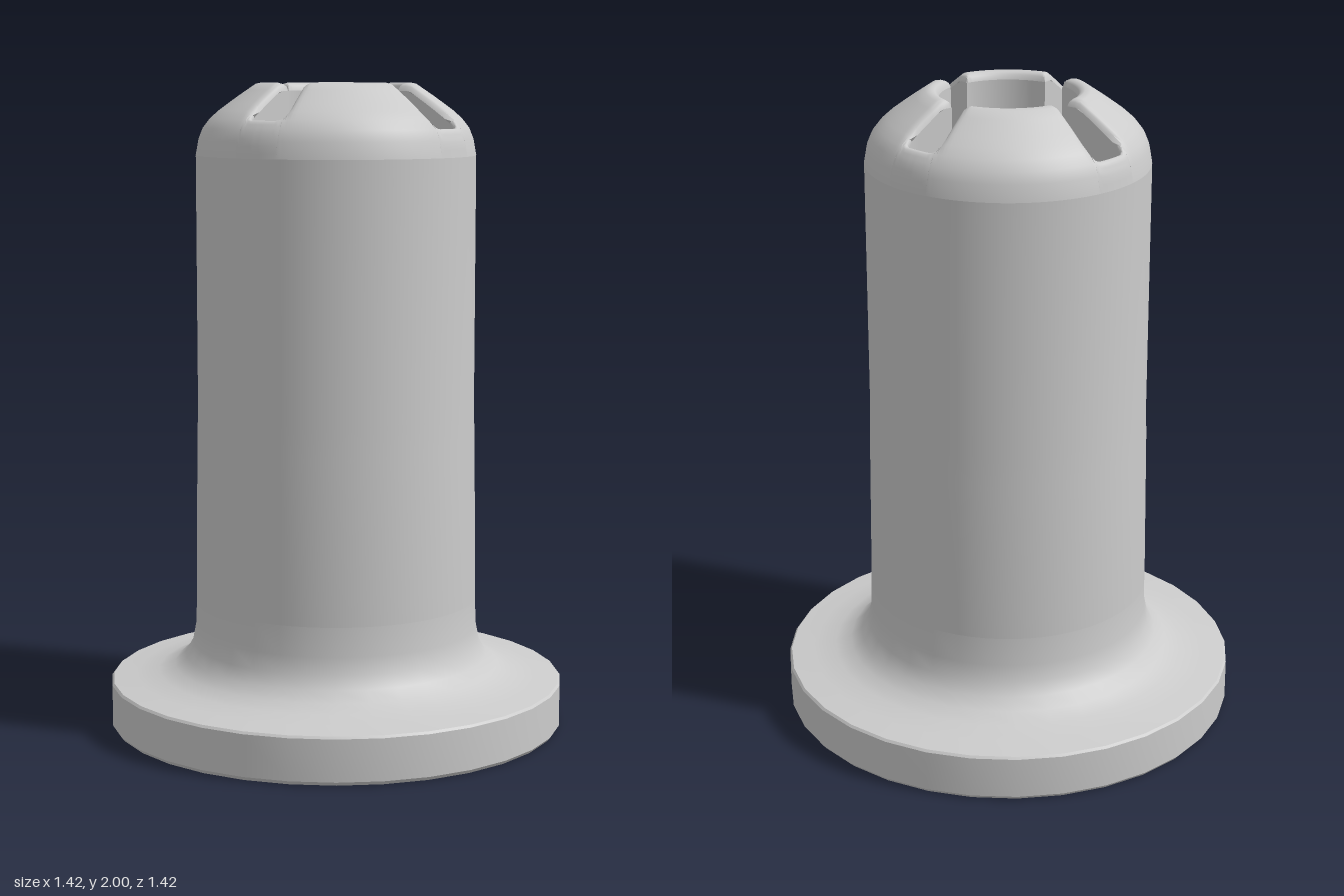
import * as THREE from 'three';
import { toCreasedNormals } from 'three/addons/utils/BufferGeometryUtils.js';

const V = (x, y) => new THREE.Vector2(x, y);
const material = new THREE.MeshStandardMaterial({ color: 0xcccccc, side: THREE.DoubleSide });

const HOLE = 0.205, BODY = 0.43, HALF = 0.172, FLOOR = 1.4, LIP = 0.025;
const SHOULDER = 1.78;

// Height of the domed top at a given radius
const crown = [[0, 2], [0.24, 2], [0.31, 1.952], [0.36, 1.915], [0.39, 1.888], [0.41, 1.86], [0.423, 1.825], [BODY, SHOULDER]];
function crownY(r) {
  for (let i = 1; i < crown.length; i++) {
    const [r0, y0] = crown[i - 1], [r1, y1] = crown[i];
    if (r <= r1) return y0 + (y1 - y0) * (r - r0) / (r1 - r0);
  }
  return SHOULDER;
}

// Outline of the socket: a round hole with four flared slots, as angle / radius pairs
function socketOutline() {
  const out = [];
  for (let q = 0; q < 4; q++) {
    const mid = q * Math.PI / 2;
    const end = q % 2 ? 0.372 : 0.395;
    const corner = 0.022;
    // out along one side, across the rounded end, back along the other side
    for (let i = 0; i <= 6; i++) out.push([mid - HALF, HOLE + (end - corner - HOLE) * i / 6]);
    for (let i = 1; i < 16; i++) {
      const a = -HALF + 2 * HALF * i / 16;
      const inset = Math.max(0, corner - (HALF - Math.abs(a)) * end);
      out.push([mid + a, end - corner + Math.sqrt(corner * corner - inset * inset)]);
    }
    for (let i = 6; i >= 0; i--) out.push([mid + HALF, HOLE + (end - corner - HOLE) * i / 6]);
    // arc of the round hole; closer columns beside the slots for the rounded lips
    const span = Math.PI / 2 - 2 * HALF;
    for (let i = 1; i < 24; i++) {
      const t = i / 24;
      out.push([mid + HALF + span * (t - Math.sin(2 * Math.PI * t) * 0.1), HOLE]);
    }
  }
  return out;
}

const polar = ([a, r]) => V(r * Math.cos(a), r * Math.sin(a));

// Shortest distance from a point to the closed outline
function edgeDistance(p, pts) {
  let best = Infinity;
  const d = V(0, 0), e = V(0, 0);
  pts.forEach((a, i) => {
    const b = pts[(i + 1) % pts.length];
    d.subVectors(b, a);
    e.subVectors(p, a);
    const t = THREE.MathUtils.clamp(e.dot(d) / (d.lengthSq() || 1), 0, 1);
    best = Math.min(best, e.addScaledVector(d, -t).length());
  });
  return best;
}

// Surface through columns of points around a closed loop
function loft(columns, skip = () => false) {
  const n = columns.length, m = columns[0].length, index = [];
  for (let i = 0; i < n; i++) {
    if (skip(i, (i + 1) % n)) continue;
    for (let j = 0; j < m - 1; j++) {
      const a = i * m + j, b = ((i + 1) % n) * m + j;
      index.push(a, b, a + 1, b, b + 1, a + 1);
    }
  }
  const g = new THREE.BufferGeometry();
  g.setAttribute('position', new THREE.Float32BufferAttribute(columns.flat(2), 3));
  g.setIndex(index);
  return g;
}

export function createModel() {
  const group = new THREE.Group();
  const add = (name, geometry) => {
    const mesh = new THREE.Mesh(toCreasedNormals(geometry, 0.65), material);
    mesh.name = name;
    group.add(mesh);
  };

  // Hollow underside, rim and flared flange
  add('flange', new THREE.LatheGeometry([
    V(0.41, 0.4), V(0.415, 0.32), V(0.43, 0.25), V(0.46, 0.19), V(0.52, 0.15), V(0.6, 0.135), V(0.69, 0.125),
    V(0.69, 0), V(0.7, 0), V(0.71, 0.012), V(0.71, 0.14), V(0.704, 0.147),
    V(0.63, 0.157), V(0.56, 0.168), V(0.51, 0.188), V(0.475, 0.218), V(0.452, 0.258), V(0.442, 0.31), V(0.439, 0.4),
  ], 32));

  // Barrel, drawn in slightly towards the top
  add('barrel', new THREE.LatheGeometry([V(0.439, 0.4), V(0.433, 0.9), V(BODY, 1), V(BODY, SHOULDER)], 64));

  // Inner bore, closed beneath the socket
  add('bore', new THREE.LatheGeometry([V(0, FLOOR - 0.03), V(0.41, FLOOR - 0.03), V(0.41, 0.4)], 64));

  // Domed crown with rounded lips around the socket
  const outline = socketOutline();
  const pts = outline.map(polar);
  const steps = [0, 0.02, 0.05, 0.1, 0.18, 0.3, 0.42, 0.55, 0.68, 0.8, 0.9, 0.96, 1];
  const crownColumns = outline.map(([a, r0]) => steps.map((t) => {
    const r = r0 + (BODY - r0) * t;
    const p = polar([a, r]);
    const inset = Math.max(0, LIP - edgeDistance(p, pts));
    const drop = t === 1 ? 0 : LIP - Math.sqrt(Math.max(0, LIP * LIP - inset * inset));
    return [p.x, crownY(r) - drop, p.y];
  }));
  add('crown', loft(crownColumns, (i, j) => Math.abs(outline[i][0] - outline[j][0]) < 1e-6));

  // Socket walls and floor
  add('socketWall', loft(crownColumns.map(([[x, y, z]]) => [[x, FLOOR, z], [x, y, z]])));
  const floor = new THREE.ShapeGeometry(new THREE.Shape(pts.map((p) => V(p.x, -p.y)).reverse()));
  floor.rotateX(-Math.PI / 2).translate(0, FLOOR, 0);
  add('socketFloor', floor);

  return group;
}
